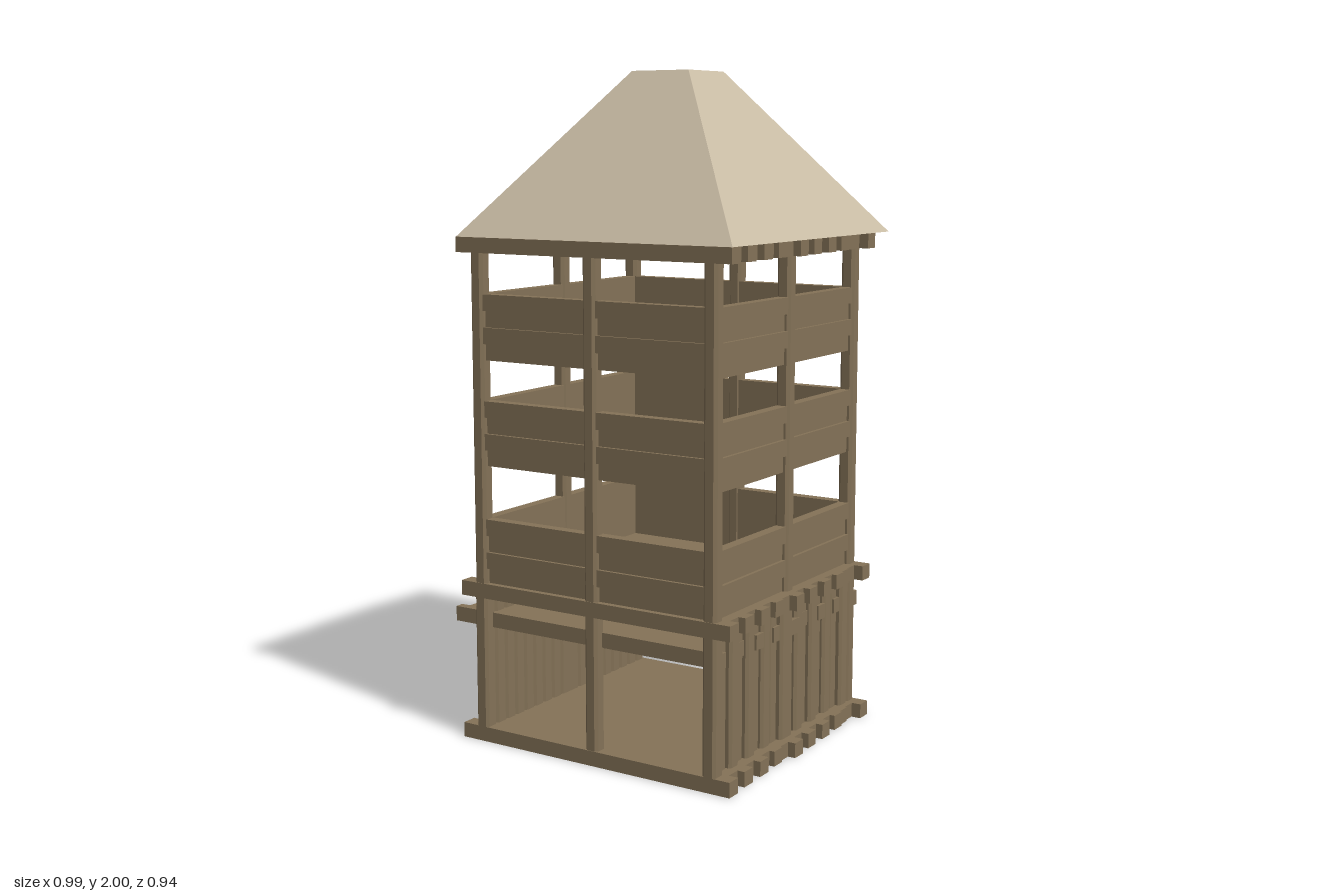
import * as THREE from 'three';

const wood = new THREE.MeshStandardMaterial({ color: 0x857358, flatShading: true });
const thatch = new THREE.MeshStandardMaterial({ color: 0xc9bca5, flatShading: true });

const CX = 0.022, CZ = 0.047;      // centre of the timber frame
const PITCH = 0.0472;              // board width
const INSET = [0, 0.03, 0.007, 0.032, 0.01, 0.034, 0.017, 0.024]; // uneven board ends

function add(parent, name, geometry, x, y, z, material = wood) {
  const mesh = new THREE.Mesh(geometry, material);
  mesh.name = name;
  mesh.position.set(x, y, z);
  parent.add(mesh);
  return mesh;
}

// Upright timber with chamfered corners, base at y = 0
function timber(w, d, h, c) {
  const a = w / 2, b = d / 2;
  const shape = new THREE.Shape([
    [a, -b + c], [a, b - c], [a - c, b], [-a + c, b],
    [-a, b - c], [-a, -b + c], [-a + c, -b], [a - c, -b],
  ].map(([x, y]) => new THREE.Vector2(x, y)));
  return new THREE.ExtrudeGeometry(shape, { depth: h, bevelEnabled: false }).rotateX(-Math.PI / 2);
}

// Deck of boards running along x; starts at z0 and proceeds in direction dir
function deck(name, x, y, z0, dir, depth) {
  const group = new THREE.Group();
  group.name = name;
  for (let i = 0; i < 18; i++) {
    const width = Math.min(PITCH, depth - i * PITCH);
    const inset = i === 16 ? 0.03 : i === 17 ? 0 : INSET[i % 8];
    const board = new THREE.BoxGeometry(2 * (0.47 - inset), 0.045, width);
    add(group, 'deckBoard', board, x, y + 0.0225, z0 + dir * (i * PITCH + width / 2));
  }
  return group;
}

// Horizontal boards of one parapet side, alternating in depth, facing +z
function parapet(width, bottom, height) {
  const group = new THREE.Group();
  group.name = 'parapet';
  const n = 4, h = height / n;
  for (let i = 0; i < n; i++) {
    const t = i % 2 ? 0.034 : 0.024;
    add(group, 'parapetBoard', new THREE.BoxGeometry(width, h, t), 0, bottom + h * (i + 0.5), t / 2 - 0.018);
  }
  return group;
}

export function createModel() {
  const model = new THREE.Group();
  model.name = 'watchtower';

  // Floors and ceiling, plus the offset lower platform
  model.add(deck('groundFloor', CX, 0, 0.472, -1, 0.85));
  model.add(deck('upperFloor', CX, 0.445, 0.472, -1, 0.85));
  model.add(deck('ceiling', CX, 1.475, 0.472, -1, 0.85));
  model.add(deck('lowerPlatform', -0.027, 0.35, -0.39, 1, 0.83));

  // Posts around the edge
  const post = timber(0.044, 0.044, 1.45, 0.009);
  for (const i of [-1, 0, 1]) {
    for (const j of [-1, 0, 1]) {
      if (i || j) add(model, 'post', post, CX + i * 0.4, 0.035, CZ + j * 0.401);
    }
  }

  // Three parapets on each of the four sides
  for (const [bottom, height] of [[0.485, 0.2], [0.845, 0.195], [1.16, 0.195]]) {
    for (let k = 0; k < 4; k++) {
      const side = parapet(0.77, bottom, height);
      const angle = k * Math.PI / 2;
      side.rotation.y = angle;
      side.position.set(CX + Math.sin(angle) * 0.4, 0, CZ + Math.cos(angle) * 0.4);
      model.add(side);
    }
  }

  // Slatted lower walls on the left and right
  for (const s of [-1, 1]) {
    const wall = new THREE.Group();
    wall.name = s > 0 ? 'leftWall' : 'rightWall';
    for (let i = 0; i < 18; i++) {
      const t = 0.044 - INSET[i % 8] * 0.6;
      const slat = timber(t, PITCH, 0.41, 0.008);
      add(wall, 'wallSlat', slat, CX + s * (0.378 + t / 2), 0.04, 0.472 - PITCH * (i + 0.5));
    }
    model.add(wall);
  }

  // Truncated pyramid roof
  const r = Math.SQRT2;
  const roof = new THREE.CylinderGeometry(0.098 * r, 0.47 * r, 0.48, 4).rotateY(Math.PI / 4);
  add(model, 'roof', roof, CX, 1.76, 0, thatch);

  return model;
}
